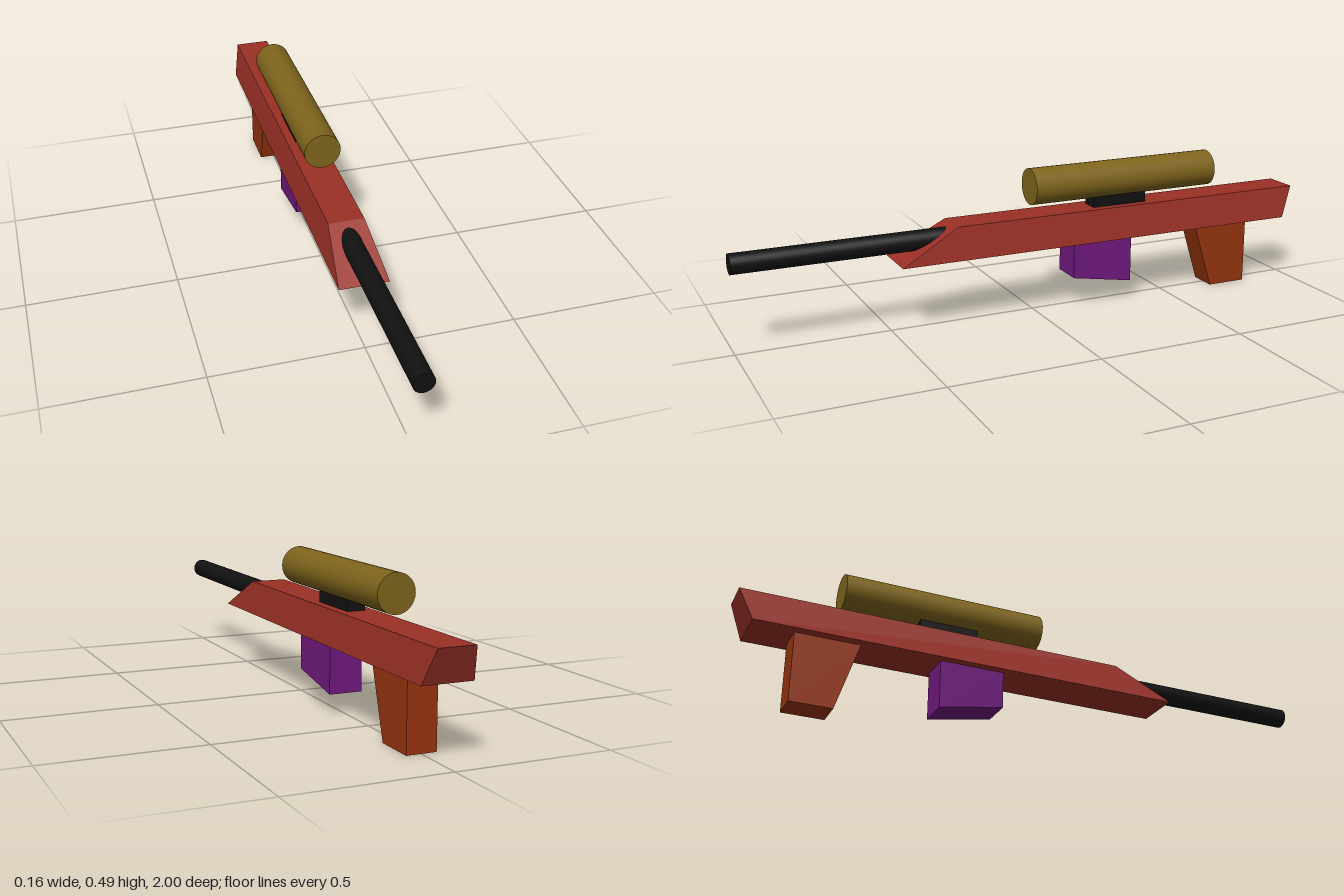
import * as THREE from 'three';

const material = (color) => new THREE.MeshStandardMaterial({ color });
const red = material(0x9a3026);
const black = material(0x111111);
const brass = material(0x7e641c);
const purple = material(0x70197f);
const orange = material(0x98350f);

// Box whose side outline is four [z, y] corners, with its own half width at top and bottom
function block(name, mat, { topFront, topBack, bottomFront, bottomBack, topHalf, bottomHalf = topHalf, x = 0 }) {
  const geometry = new THREE.BoxGeometry(2, 2, 2);
  const pos = geometry.attributes.position;
  for (let i = 0; i < pos.count; i++) {
    const top = pos.getY(i) > 0;
    const front = pos.getZ(i) > 0;
    const [z, y] = top ? (front ? topFront : topBack) : (front ? bottomFront : bottomBack);
    pos.setXYZ(i, x + pos.getX(i) * (top ? topHalf : bottomHalf), y, z);
  }
  geometry.computeVertexNormals();
  const mesh = new THREE.Mesh(geometry, mat);
  mesh.name = name;
  return mesh;
}

// Capped cylinder lying along z
function rod(name, mat, radius, x, y, zBack, zFront) {
  const geometry = new THREE.CylinderGeometry(radius, radius, zFront - zBack, 32);
  geometry.rotateX(Math.PI / 2);
  const mesh = new THREE.Mesh(geometry, mat);
  mesh.name = name;
  mesh.position.set(x, y, (zBack + zFront) / 2);
  return mesh;
}

export function createModel() {
  const model = new THREE.Group();
  model.name = 'rifle';

  model.add(
    // Tapered body with a long sloping nose and an undercut back end
    block('body', red, {
      topFront: [0.285, 0.335], topBack: [-1, 0.335],
      bottomFront: [0.48, 0.228], bottomBack: [-0.955, 0.228],
      topHalf: 0.059, bottomHalf: 0.081,
    }),
    rod('barrel', black, 0.033, 0, 0.291, 0.2, 1),

    // Scope on its mount
    block('scopeMount', black, {
      topFront: [-0.215, 0.4], topBack: [-0.413, 0.4],
      bottomFront: [-0.215, 0.32], bottomBack: [-0.413, 0.32],
      topHalf: 0.03,
    }),
    rod('scope', brass, 0.061, 0.002, 0.425, -0.67, 0.01),

    // Magazine with a slanted floor, and the grip with a slanted front
    block('magazine', purple, {
      topFront: [-0.13, 0.24], topBack: [-0.347, 0.24],
      bottomFront: [-0.13, 0.105], bottomBack: [-0.347, 0.067],
      topHalf: 0.0545, x: 0.0015,
    }),
    block('grip', orange, {
      topFront: [-0.606, 0.24], topBack: [-0.82, 0.24],
      bottomFront: [-0.682, 0], bottomBack: [-0.82, 0],
      topHalf: 0.048, x: -0.0015,
    }),
  );
  return model;
}
